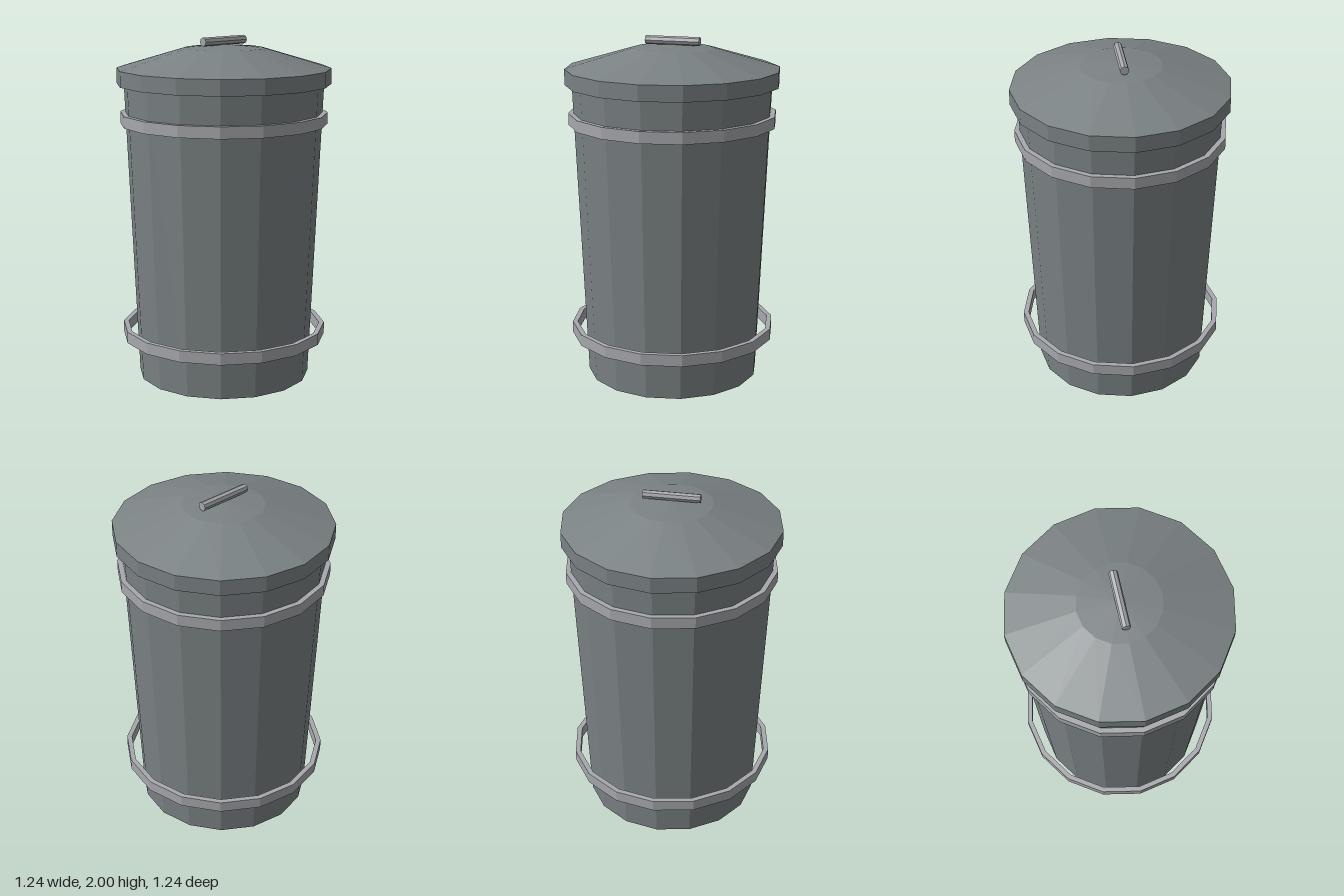
import * as THREE from 'three';

const SIDES = 16;

// Faceted solid of revolution from [radius, height] pairs listed bottom to top on the outside
function turned(name, profile, material) {
  const points = profile.map(([r, y]) => new THREE.Vector2(r, y));
  const geometry = new THREE.LatheGeometry(points, SIDES).toNonIndexed();
  geometry.computeVertexNormals();
  const mesh = new THREE.Mesh(geometry, material);
  mesh.name = name;
  return mesh;
}

export function createModel() {
  const model = new THREE.Group();
  model.name = 'trashCan';

  const bodyGrey = new THREE.MeshStandardMaterial({ color: 0x7b8284, flatShading: true });
  bodyGrey.name = 'dark grey metal';
  const trimGrey = new THREE.MeshStandardMaterial({ color: 0xa6a8ac, flatShading: true });
  trimGrey.name = 'light grey metal';

  // Tapered bin with a closed base
  model.add(turned('body', [[0, 0], [0.505, 0], [0.578, 1.75]], bodyGrey));

  // Lid: straight rim, shallow cone and a flatter crown
  model.add(turned('lid', [
    [0, 1.73], [0.618, 1.73], [0.618, 1.82], [0.23, 1.935], [0, 1.955],
  ], bodyGrey));

  // Two loose hoops standing off the tapered wall
  for (const [name, y] of [['lowerHoop', 0.235], ['upperHoop', 1.5]]) {
    const top = y + 0.067;
    model.add(turned(name, [
      [0.57, y], [0.6, y], [0.6, top], [0.57, top], [0.57, y],
    ], trimGrey));
  }

  // Bar handle lying across the crown
  const handle = new THREE.Mesh(new THREE.CylinderGeometry(0.025, 0.025, 0.32, 8), trimGrey);
  handle.name = 'handle';
  handle.rotation.z = Math.PI / 2;
  handle.position.y = 1.975;
  model.add(handle);

  return model;
}
